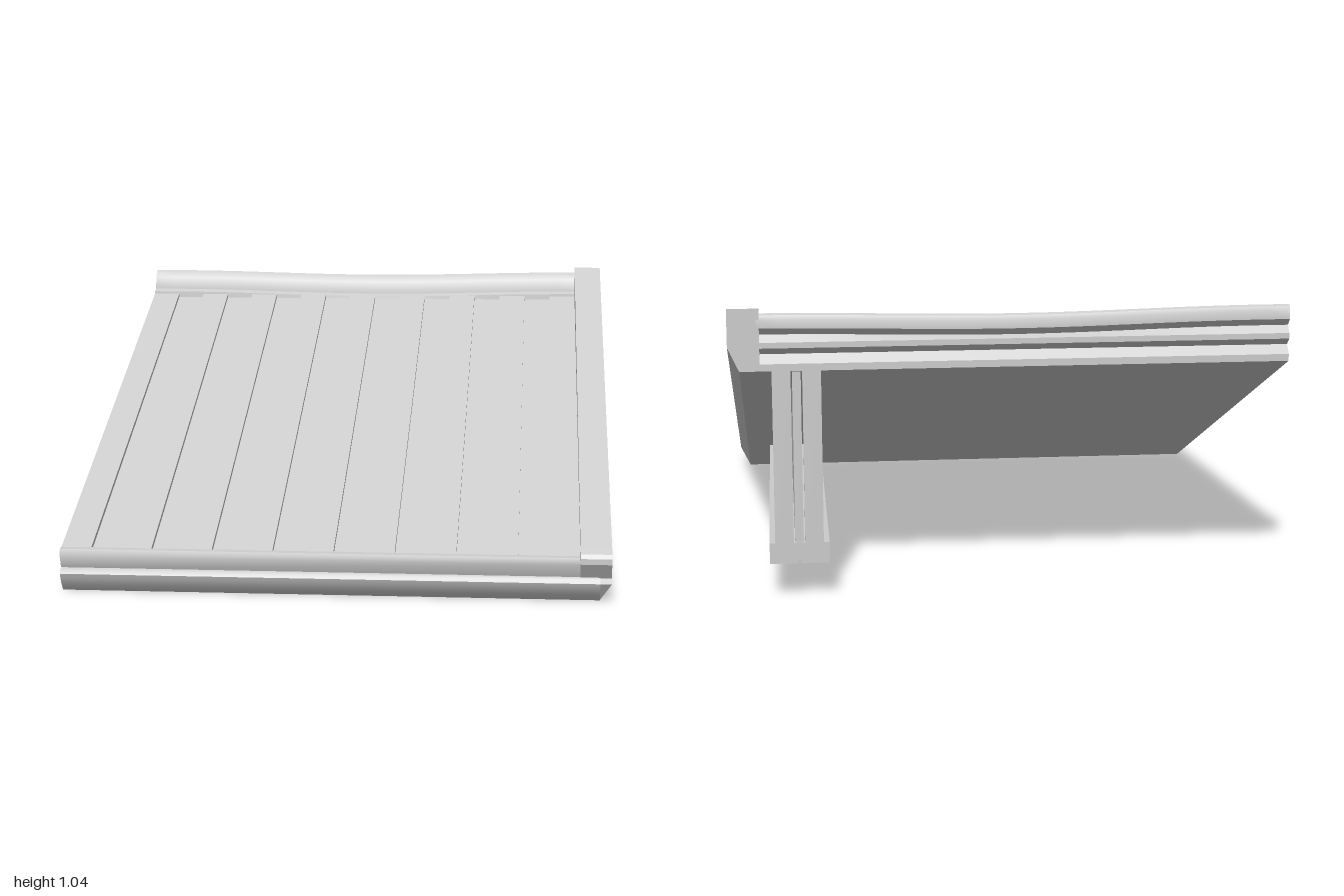
import * as THREE from 'three';
import { toCreasedNormals } from 'three/addons/utils/BufferGeometryUtils.js';

const mat = new THREE.MeshStandardMaterial({ color: 0xcccccc });
const thin = new THREE.MeshStandardMaterial({ color: 0xcccccc, side: THREE.DoubleSide });
const LEFT_END = -0.985;

// Height of the roof underside at depth z
const soffitY = (z) => 0.82 - 0.4227 * (z + 1);

// Side outline of [z, y] points, extruded across the width from x0 to x1
function sideGeometry(points, x0, x1) {
  const shape = new THREE.Shape(points.map(([z, y]) => new THREE.Vector2(z, y)));
  const geo = new THREE.ExtrudeGeometry(shape, { depth: x1 - x0, bevelEnabled: false });
  return geo.rotateY(-Math.PI / 2).translate(x1, 0, 0);
}

// Open surface whose grid point (i, j) is placed by a rule
function sheet(nu, nv, rule, crease = 0.7) {
  const geo = new THREE.PlaneGeometry(1, 1, nu, nv);
  const pos = geo.attributes.position;
  for (let j = 0; j <= nv; j++) {
    for (let i = 0; i <= nu; i++) pos.setXYZ(j * (nu + 1) + i, ...rule(i, j));
  }
  return toCreasedNormals(geo, crease);
}

// Trim strip: a [z, y] profile swept along x, optionally sagging in the middle
function trim(profile, x0, x1, sag = 0) {
  const n = sag ? 24 : 1;
  return sheet(n, profile.length - 1, (i, j) => {
    const x = x0 + ((x1 - x0) * i) / n;
    const [z, y] = profile[j];
    const dip = Math.abs(x) < 0.9 && y > 0.921 ? (1 + Math.cos((Math.PI * x) / 0.9)) / 2 : 0;
    return [x, y - sag * dip, z];
  });
}

export function createModel() {
  const group = new THREE.Group();
  const add = (name, geo, material = mat) => {
    const mesh = new THREE.Mesh(geo, material);
    mesh.name = name;
    group.add(mesh);
  };

  // Roof covering: 17 boards, every other one raised
  const boards = 17, roofWidth = 0.87 - LEFT_END;
  add('roofBoards', sheet(boards * 2 - 1, 1, (i, j) => {
    const board = Math.floor(i / 2);
    const x = LEFT_END + (roofWidth * (board + (i % 2))) / boards;
    const lift = board % 2 === 0 ? 0.01 : -0.004;
    return j ? [x, 0.15 + lift, 0.947 + lift * 0.5] : [x, 0.91 + lift, -0.912];
  }, 0.2), thin);

  // Flat underside
  add('soffit', trim([[0.94, 0], [-1, 0.82]], LEFT_END, 0.94), thin);

  // Eave: flat lip above a recessed band and a rounded lower roll
  add('eaveTrim', trim([
    [0.94, 0.145], [0.95, 0.16], [0.978, 0.158], [0.985, 0.135], [0.965, 0.088],
    [0.978, 0.082], [0.985, 0.068], [0.978, 0.05], [0.962, 0.025], [0.94, 0],
  ], LEFT_END, 0.94), thin);

  // Ridge: stepped flashing, rounded cap and ribbed back
  add('ridgeTrim', trim([
    [-0.91, 0.905], [-0.912, 0.93], [-0.938, 0.94], [-0.94, 0.957], [-0.95, 0.99],
    [-0.965, 1.012], [-0.98, 1.02], [-0.993, 1.015], [-1, 1.0], [-1, 0.97],
    [-0.975, 0.945], [-1, 0.92], [-1, 0.9], [-0.97, 0.875], [-1, 0.845], [-1, 0.82],
  ], LEFT_END, 0.88, 0.015), thin);

  // Verge beam at the gable end: upright upper half
  add('vergeUpper', sideGeometry([
    [-1, 1.04], [-1, 0.905], [0.965, 0.085], [1, 0.14], [1, 0.16], [0.99, 0.175], [0.96, 0.19],
  ], 0.87, 0.98));

  // Verge beam lower half, tapering inward toward the underside
  const lower = sideGeometry([
    [-1, 0.905], [-1, 0.82], [0.94, 0], [0.985, 0.068], [0.965, 0.085],
  ], 0.87, 0.98);
  const pos = lower.attributes.position;
  for (let i = 0; i < pos.count; i++) {
    if (pos.getX(i) > 0.9 && pos.getY(i) < soffitY(pos.getZ(i)) + 0.01) pos.setX(i, 0.94);
  }
  lower.computeVertexNormals();
  add('vergeLower', lower);

  // Gable wall panel under the roof
  add('gablePanel', sideGeometry([
    [-0.99, 0.14], [0.6, 0.14], [-0.99, soffitY(-0.99)],
  ], 0.73, 0.76));

  // Sill rails and rear posts on both sides of the panel
  for (const side of [-1, 1]) {
    const span = (near, far) => [0.745 + side * near, 0.745 + side * far].sort((a, b) => a - b);
    add('sillRail', sideGeometry([
      [-1, 0.13], [0.63, 0.13], [0.46, 0.205], [-1, 0.205],
    ], ...span(0.004, 0.105)));
    add('rearPost', sideGeometry([
      [-1, 0.2], [-0.96, 0.2], [-0.96, soffitY(-0.96)], [-1, soffitY(-1)],
    ], ...span(0.02, 0.085)));
  }
  return group;
}
